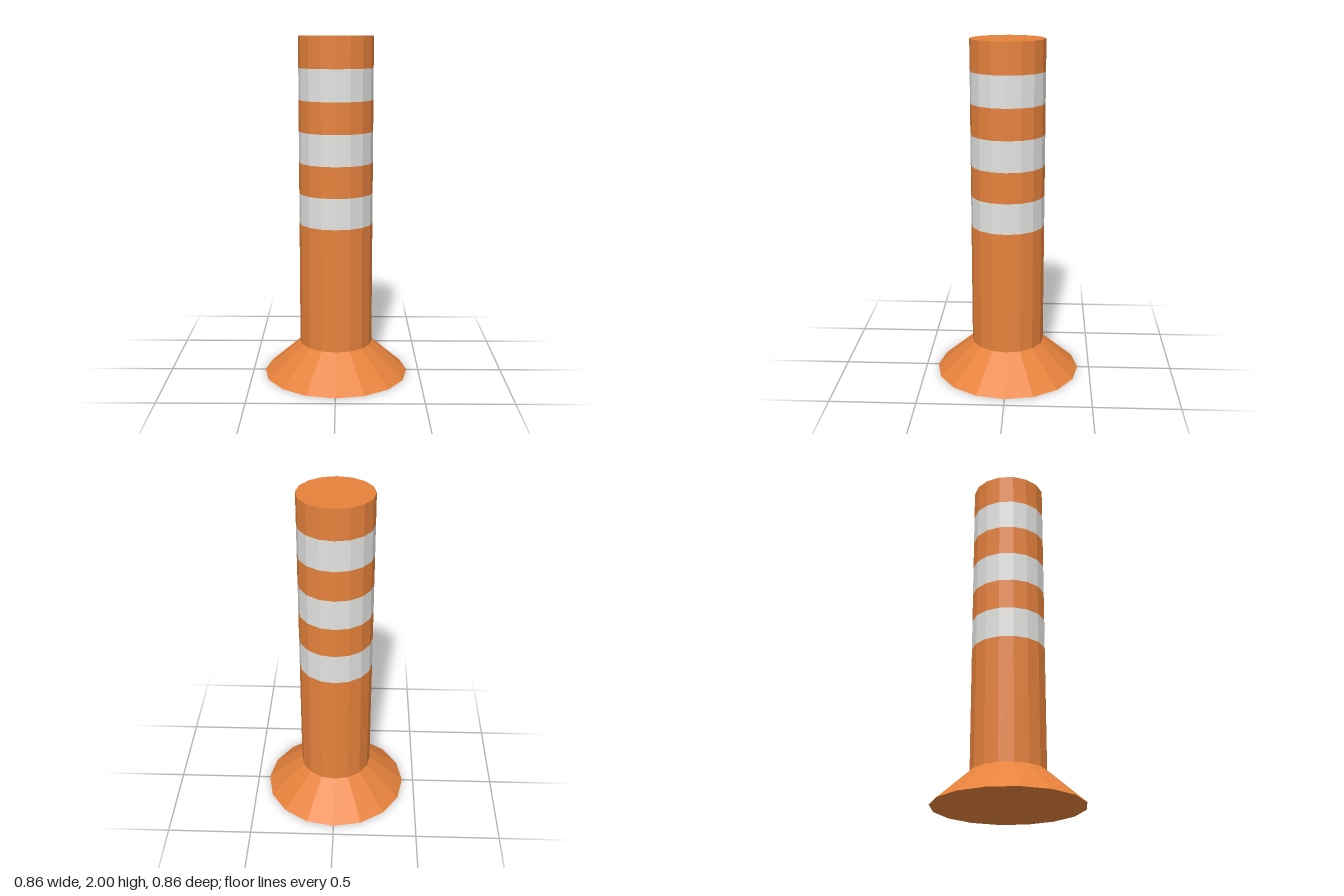
import * as THREE from 'three';

export function createModel() {
  const group = new THREE.Group();
  const orange = new THREE.MeshStandardMaterial({ name: 'orange plastic', color: 0xe6823c, flatShading: true });
  const white = new THREE.MeshStandardMaterial({ name: 'reflective white', color: 0xe3e4e1, flatShading: true });

  const SIDES = 16;
  const POST_RADIUS = 0.215;

  // Faceted ring between two heights, open at both ends
  function section(name, y0, y1, r0, r1, material) {
    const geometry = new THREE.CylinderGeometry(r1, r0, y1 - y0, SIDES, 1, true);
    const mesh = new THREE.Mesh(geometry, material);
    mesh.position.y = (y0 + y1) / 2;
    mesh.name = name;
    group.add(mesh);
  }

  // Flat end disc, facing up or down
  function disc(name, y, radius, up) {
    const geometry = new THREE.CircleGeometry(radius, SIDES);
    geometry.rotateX(up ? -Math.PI / 2 : Math.PI / 2);
    const mesh = new THREE.Mesh(geometry, orange);
    mesh.position.y = y;
    mesh.name = name;
    group.add(mesh);
  }

  // Flared foot
  disc('baseUnderside', 0, 0.43, false);
  section('flaredBase', 0, 0.19, 0.43, POST_RADIUS, orange);

  // Post, alternating orange sections and white bands
  const heights = [0.19, 0.92, 1.1, 1.28, 1.46, 1.64, 1.82, 2];
  for (let i = 0; i < heights.length - 1; i++) {
    const isBand = i % 2 === 1;
    section(isBand ? 'reflectiveBand' : 'postSection', heights[i], heights[i + 1],
      POST_RADIUS, POST_RADIUS, isBand ? white : orange);
  }
  disc('postTop', 2, POST_RADIUS, true);

  return group;
}
